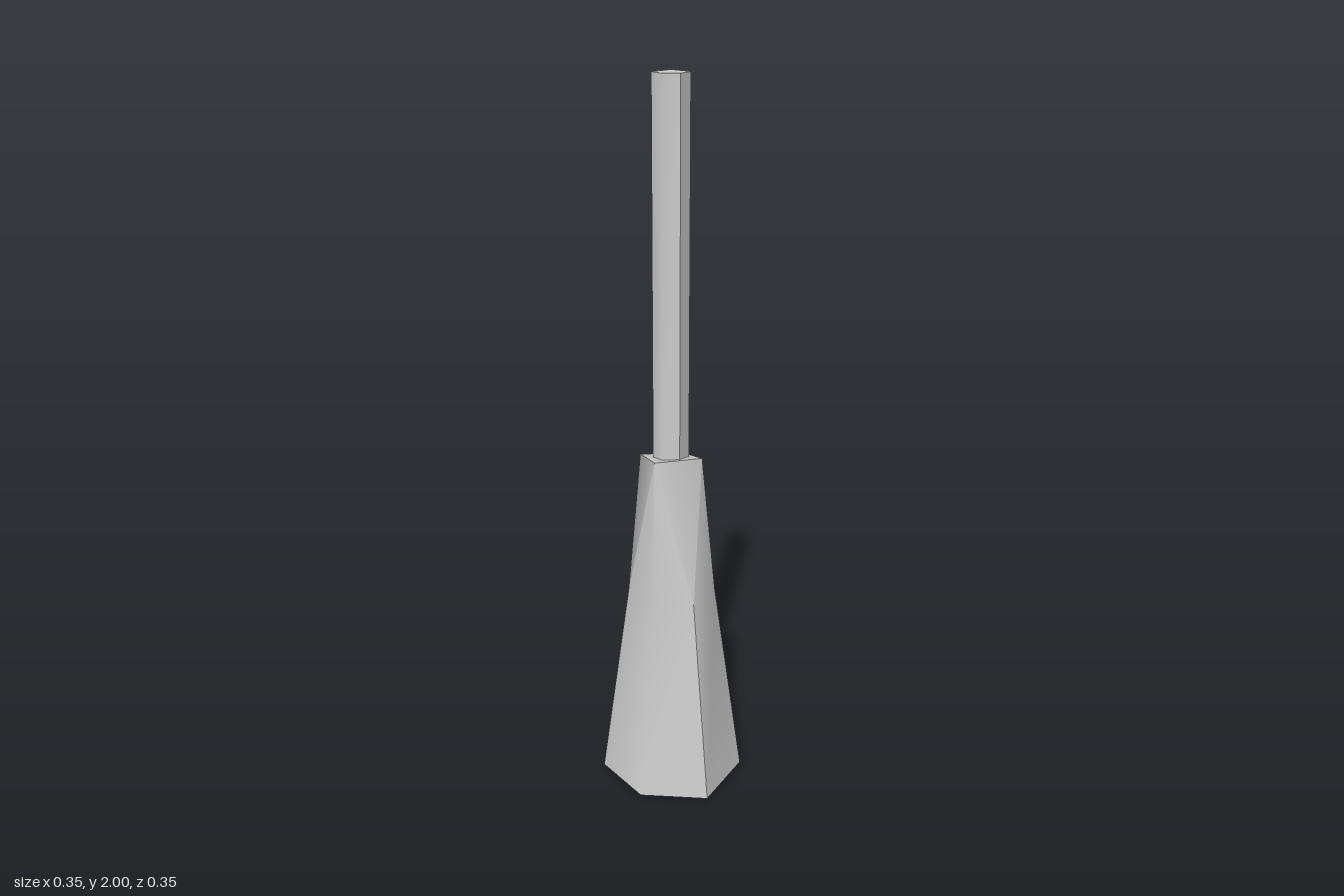
import * as THREE from 'three';
import { toCreasedNormals } from 'three/addons/utils/BufferGeometryUtils.js';

// Builds a creased geometry from a list of triangles, each three [x, y, z] corners
function fromTriangles(tris) {
  const geo = new THREE.BufferGeometry();
  geo.setAttribute('position', new THREE.Float32BufferAttribute(tris.flat(2), 3));
  return toCreasedNormals(geo, Math.PI / 3);
}

// Lifts [x, z] outline points to a height
const ring = (points, y) => points.map(([x, z]) => [x, y, z]);

// Side wall between two rings of equal count
function wall(low, up) {
  return low.flatMap((a, i) => {
    const j = (i + 1) % low.length;
    return [[a, low[j], up[j]], [a, up[j], up[i]]];
  });
}

// Fan from a ring to a centre point; facing up, or down when flipped
function cap(r, centre, flip = false) {
  return r.map((a, i) => {
    const b = r[(i + 1) % r.length];
    return flip ? [b, a, centre] : [a, b, centre];
  });
}

export function createModel() {
  const group = new THREE.Group();
  const grey = new THREE.MeshStandardMaterial({ color: 0xcccccc });
  grey.name = 'light grey';

  const add = (name, tris) => {
    const mesh = new THREE.Mesh(fromTriangles(tris), grey);
    mesh.name = name;
    group.add(mesh);
  };

  // Flared head: outlines run from the front round by +x
  const foot = ring([[0, 0.175], [0.173, 0.096], [0.171, -0.113], [-0.004, -0.178], [-0.175, -0.084], [-0.173, 0.096]], 0.01);
  const waist = ring([[0, 0.103], [0.104, 0.057], [0.102, -0.069], [-0.004, -0.105], [-0.105, -0.052], [-0.104, 0.057]], 0.59);

  // Slightly tilted four-cornered collar: front, +x, back, -x
  const front = [0, 1.0, 0.088];
  const left = [0.093, 1.0, -0.005];
  const back = [-0.004, 0.967, -0.09];
  const right = [-0.095, 0.98, 0.003];
  const w = waist;
  const shoulder = [
    [w[0], w[1], front], [front, w[1], left],
    [w[1], w[2], left],
    [left, w[2], back], [w[2], w[3], back],
    [w[3], w[4], back], [back, w[4], right],
    [w[4], w[5], right],
    [right, w[5], front], [w[5], w[0], front],
  ];
  add('head', [
    ...cap(foot, [0, 0, 0], true),
    ...wall(foot, waist),
    ...shoulder,
    ...cap([front, left, back, right], [-0.001, 0.987, 0]),
  ]);

  // Six-sided pole
  const outline = [[0, 0.046], [0.041, 0.025], [0.04, -0.028], [-0.001, -0.048], [-0.044, -0.026], [-0.042, 0.024]];
  const poleLow = ring(outline, 0.95);
  const poleTop = ring(outline, 1.995);
  add('pole', [
    ...wall(poleLow, poleTop),
    ...cap(poleTop, [0, 2, 0]),
    ...cap(poleLow, [0, 0.95, 0], true),
  ]);

  return group;
}
